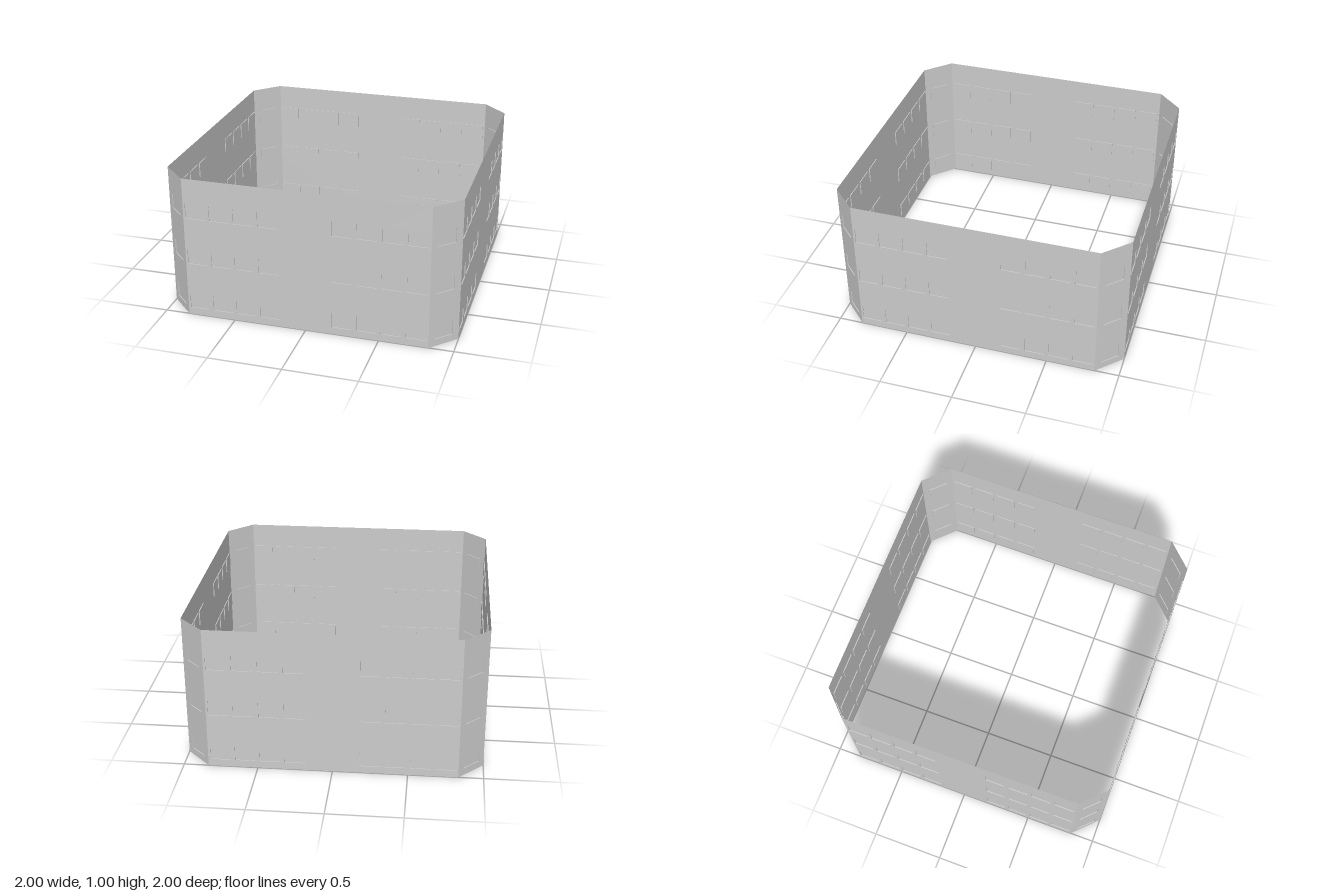
import * as THREE from 'three';
import { mergeGeometries } from 'three/addons/utils/BufferGeometryUtils.js';

const HEIGHT = 1;
const FLAT = 5 / 6;               // half length of each main wall
const WIN_W = 0.137, WIN_H = 0.107, DEPTH = 0.006;
const ROWS = [0, 1, 2].map((i) => 0.104 + i / 3);

const material = new THREE.MeshStandardMaterial({
  color: 0xcccccc, flatShading: true, side: THREE.DoubleSide,
});

// Flat panel of the given width, facing +z, with window openings cut out
function panelGeometry(width, columns) {
  const w = width / 2;
  const shape = new THREE.Shape();
  shape.moveTo(-w, 0).lineTo(w, 0).lineTo(w, HEIGHT).lineTo(-w, HEIGHT).closePath();
  for (const x of columns) for (const y of ROWS) {
    const a = WIN_W / 2, b = WIN_H / 2;
    const hole = new THREE.Path();
    hole.moveTo(x - a, y - b).lineTo(x - a, y + b).lineTo(x + a, y + b).lineTo(x + a, y - b).closePath();
    shape.holes.push(hole);
  }
  return new THREE.ShapeGeometry(shape);
}

// Shallow window trays: boxes without their front face, set behind the panel
function windowGeometry(columns) {
  const trays = [];
  for (const x of columns) for (const y of ROWS) {
    const box = new THREE.BoxGeometry(WIN_W, WIN_H, DEPTH);
    const index = Array.from(box.index.array);
    index.splice(24, 6);          // drop the +z face
    box.setIndex(index);
    box.clearGroups();
    trays.push(box.translate(x, y, -DEPTH / 2));
  }
  return mergeGeometries(trays);
}

function makeWall(name, width, columns, distance, angle) {
  const wall = new THREE.Group();
  wall.name = name;
  const panel = new THREE.Mesh(panelGeometry(width, columns), material);
  panel.name = name + 'Panel';
  const windows = new THREE.Mesh(windowGeometry(columns), material);
  windows.name = name + 'Windows';
  wall.add(panel, windows);
  wall.position.set(Math.sin(angle) * distance, 0, Math.cos(angle) * distance);
  wall.rotation.y = angle;
  return wall;
}

export function createModel() {
  const group = new THREE.Group();
  group.name = 'facadeRing';

  // Two sets of four window columns, leaving the middle of each wall blank
  const half = [3, 5, 7, 9].map((i) => i / 12);
  const columns = [...half.map((x) => -x), ...half];

  const mainNames = ['frontWall', 'leftWall', 'backWall', 'rightWall'];
  const cornerNames = ['frontLeftCorner', 'backLeftCorner', 'backRightCorner', 'frontRightCorner'];
  for (let i = 0; i < 4; i++) {
    const angle = i * Math.PI / 2;
    group.add(makeWall(mainNames[i], FLAT * 2, columns, 1, angle));
    // Chamfered corner with one column of windows
    group.add(makeWall(cornerNames[i], (1 - FLAT) * Math.SQRT2, [0],
      (1 + FLAT) / Math.SQRT2, angle + Math.PI / 4));
  }
  return group;
}
